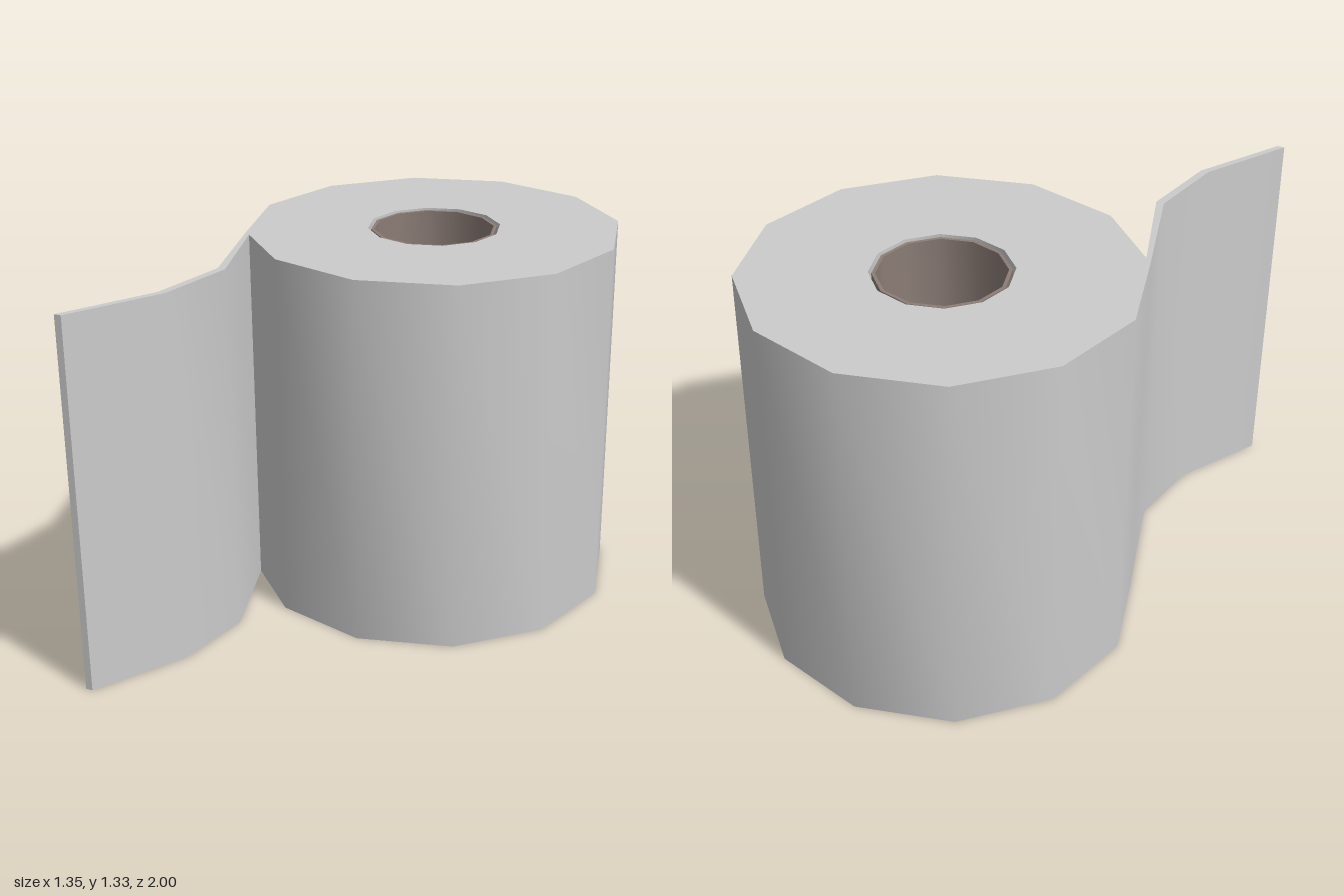
import * as THREE from 'three';
import { toCreasedNormals } from 'three/addons/utils/BufferGeometryUtils.js';

const HEIGHT = 1.33, CX = 0.008, CZ = -0.337, RADIUS = 0.664, SIDES = 12;

// Point i of a twelve-sided ring around the roll axis, as [x, z]
const ringPoint = (r, i) => {
  const a = (i / SIDES) * Math.PI * 2;
  return [CX + r * Math.cos(a), CZ + r * Math.sin(a)];
};
const ring = (r) => Array.from({ length: SIDES }, (_, i) => ringPoint(r, i));
const toVectors = (points) => points.map(([x, z]) => new THREE.Vector2(x, -z));

// Upright prism from a plan outline with a ring-shaped hole
function prism(name, outline, holeRadius, y0, y1, color) {
  const shape = new THREE.Shape(toVectors(outline));
  // The hole winds against the outline so that its wall faces the axis
  shape.holes.push(new THREE.Path(toVectors(ring(holeRadius)).reverse()));
  const geometry = new THREE.ExtrudeGeometry(shape, { depth: y1 - y0, bevelEnabled: false });
  geometry.rotateX(-Math.PI / 2).translate(0, y0, 0);
  const mesh = new THREE.Mesh(
    toCreasedNormals(geometry, THREE.MathUtils.degToRad(35)),
    new THREE.MeshStandardMaterial({ color })
  );
  mesh.name = name;
  return mesh;
}

export function createModel() {
  const group = new THREE.Group();
  group.name = 'paperRoll';

  // Paper: the wound roll runs on into the loose sheet at its front right corner
  const sheetInner = [[-0.54, 0.027], [-0.422, 0.4], [-0.473, 0.69], [-0.65, 1]];
  const sheetOuter = [[-0.675, 1], [-0.5, 0.69], [-0.45, 0.4]];
  const outline = [];
  ring(RADIUS).forEach((p, i) => {
    if (i === 5) outline.push(...sheetInner, ...sheetOuter);
    outline.push(p);
  });
  group.add(prism('paper', outline, 0.236, 0, HEIGHT, 0xcccccc));

  // Cardboard tube standing just clear of the paper
  group.add(prism('cardboardCore', ring(0.225), 0.213, 0.005, HEIGHT - 0.005, 0x8c7d77));
  return group;
}
